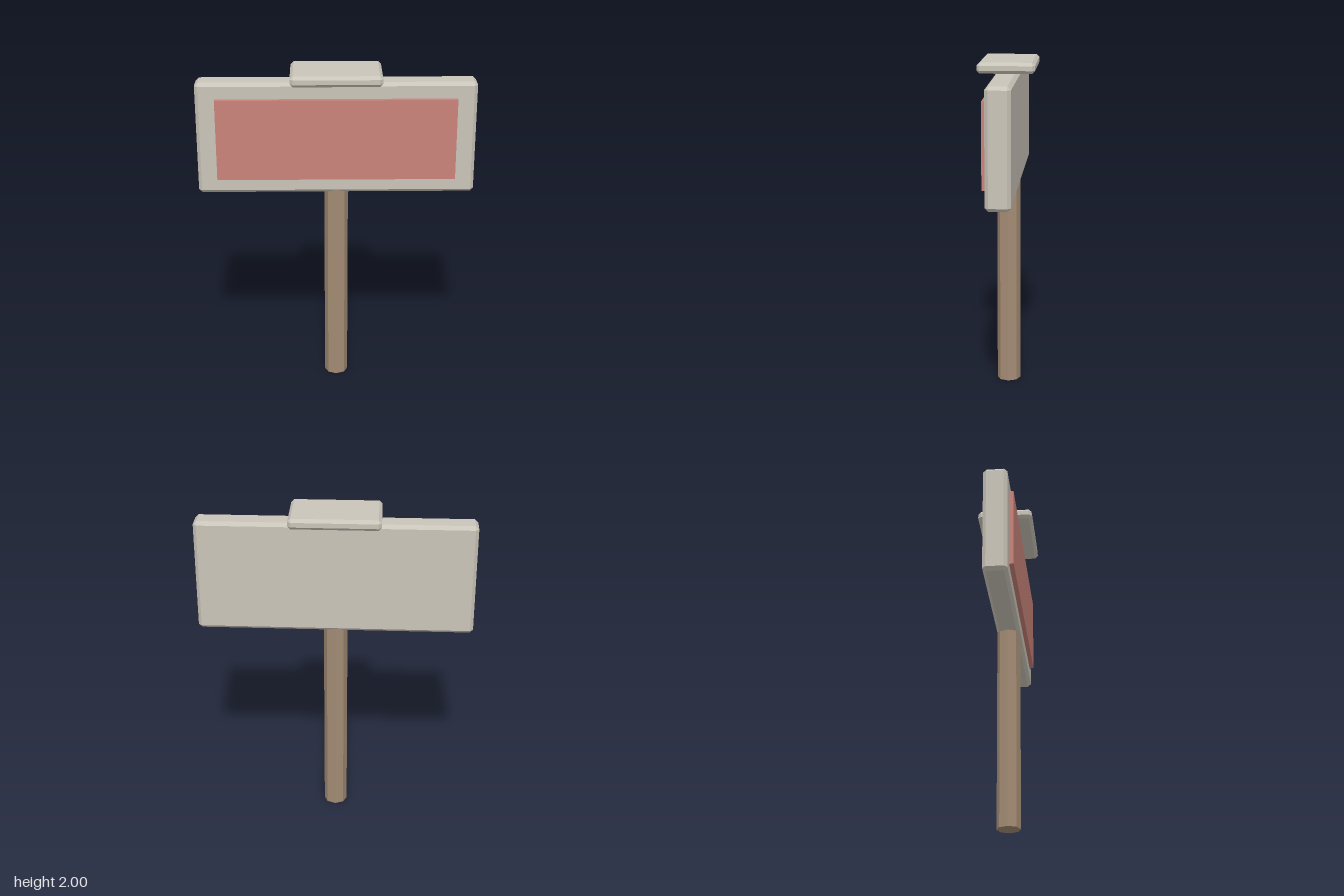
import * as THREE from 'three';
import { ConvexGeometry } from 'three/addons/geometries/ConvexGeometry.js';

const stone = new THREE.MeshStandardMaterial({ color: 0xcac5b9 });
stone.name = 'paleStone';
const red = new THREE.MeshStandardMaterial({ color: 0xc9837a });
red.name = 'fadedRed';
const wood = new THREE.MeshStandardMaterial({ color: 0xa38c74 });
wood.name = 'brownWood';

// Box with every edge cut by a flat chamfer of width c
function chamferBox(w, h, d, c) {
  const points = [];
  for (const sx of [-1, 1]) for (const sy of [-1, 1]) for (const sz of [-1, 1]) {
    const x = w / 2, y = h / 2, z = d / 2;
    points.push(
      new THREE.Vector3(sx * x, sy * (y - c), sz * (z - c)),
      new THREE.Vector3(sx * (x - c), sy * y, sz * (z - c)),
      new THREE.Vector3(sx * (x - c), sy * (y - c), sz * z),
    );
  }
  return new ConvexGeometry(points);
}

export function createModel() {
  const model = new THREE.Group();
  model.name = 'signpost';

  const add = (name, geometry, material, y, z = 0) => {
    const mesh = new THREE.Mesh(geometry, material);
    mesh.name = name;
    mesh.position.set(0, y, z);
    model.add(mesh);
  };

  // Eight-sided post with a corner facing forward, running up into the board
  const post = new THREE.CylinderGeometry(0.071, 0.071, 1.3, 8).toNonIndexed();
  post.computeVertexNormals();
  add('post', post, wood, 0.65);

  // Sign board, raised front panel and the flat cap on top
  add('board', chamferBox(1.634, 0.68, 0.143, 0.02), stone, 1.595);
  add('frontPanel', new THREE.BoxGeometry(1.404, 0.49, 0.038), red, 1.595, 0.079);
  add('topCap', chamferBox(0.532, 0.064, 0.336, 0.018), stone, 1.968);

  return model;
}
